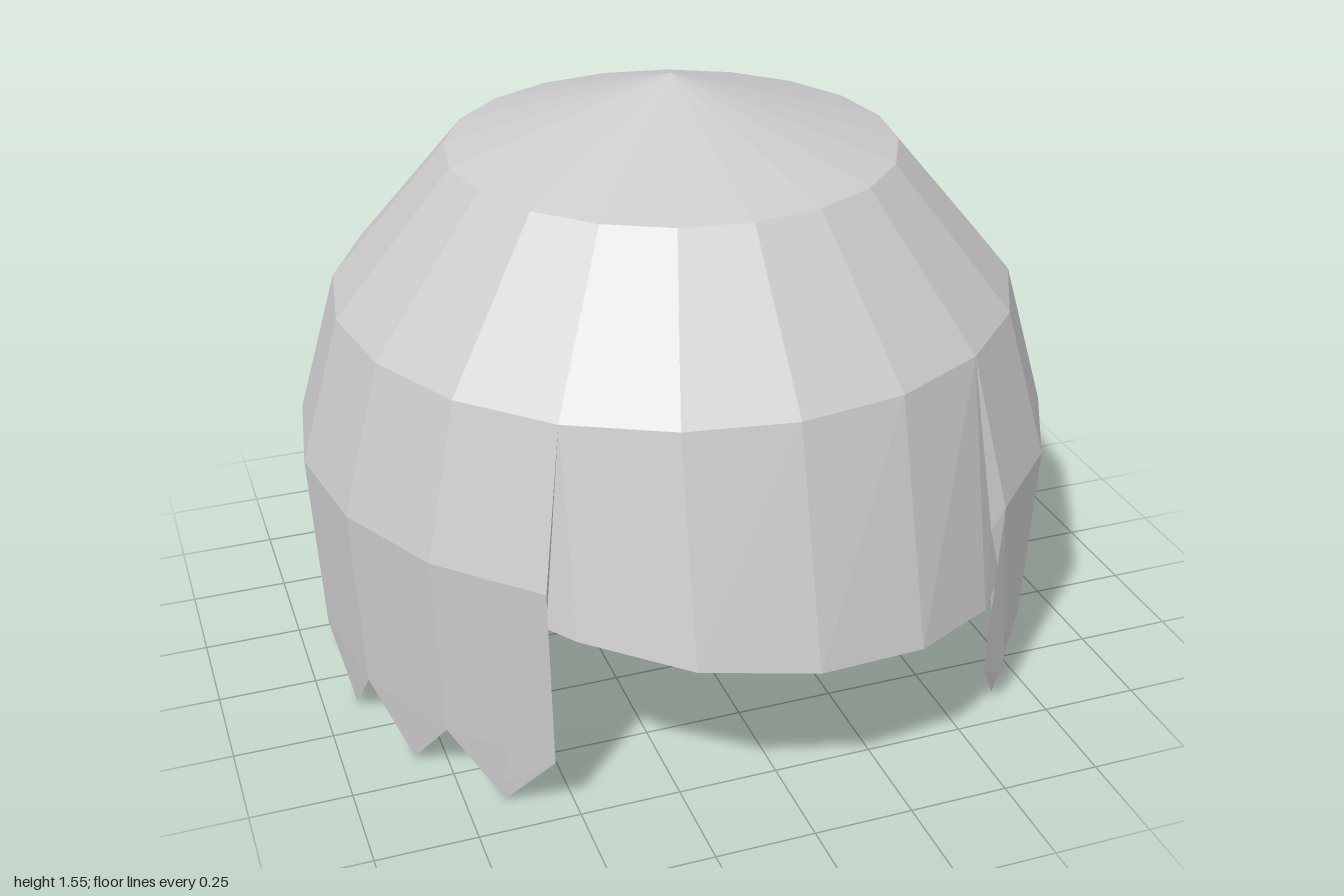
import * as THREE from 'three';

const STEP = Math.PI / 10; // twenty columns around the head
const material = new THREE.MeshStandardMaterial({
  color: 0xcccccc, flatShading: true, side: THREE.DoubleSide,
});

// Point on a ring; column 0 is the front, positive columns turn towards +x.
const ring = (r, y, col) => [r * Math.sin(col * STEP), y, r * Math.cos(col * STEP) - 0.02];

function surface(name, triangles) {
  const geometry = new THREE.BufferGeometry();
  geometry.setAttribute('position', new THREE.Float32BufferAttribute(triangles.flat(2), 3));
  geometry.computeVertexNormals();
  const mesh = new THREE.Mesh(geometry, material);
  mesh.name = name;
  return mesh;
}

// Two triangles: upper left, upper right, lower left, lower right (seen from outside).
const quad = (a, b, c, d) => [[a, c, b], [b, c, d]];

export function createModel() {
  const group = new THREE.Group();
  group.name = 'hair';

  // Crown: shallow cone on a steeper band
  const apex = [0, 1.55, -0.02];
  const crown = [];
  for (let i = 0; i < 20; i++) {
    crown.push([apex, ring(0.565, 1.375, i), ring(0.565, 1.375, i + 1)]);
    crown.push(...quad(ring(0.565, 1.375, i), ring(0.565, 1.375, i + 1),
      ring(0.865, 1.02, i), ring(0.865, 1.02, i + 1)));
  }
  group.add(surface('crown', crown));

  // Sides and back: two bands ending in pointed strands, open at the front
  const levels = [[0.865, 1.02], [0.973, 0.645], [0.95, 0.165]];
  const sides = [];
  for (let i = 2; i < 18; i++) {
    for (let k = 0; k < 2; k++) {
      const [r0, y0] = levels[k], [r1, y1] = levels[k + 1];
      sides.push(...quad(ring(r0, y0, i), ring(r0, y0, i + 1), ring(r1, y1, i), ring(r1, y1, i + 1)));
    }
    sides.push([ring(0.95, 0.165, i), ring(0.925, 0, i + 0.5), ring(0.95, 0.165, i + 1)]);
  }
  group.add(surface('sideAndBackHair', sides));

  // Fringe: flares forward, slanted lower edge, ends tucked behind the side hair
  const hem = [
    [-0.66, 0.56, 0.65], [-0.515, 0.535, 0.81], [-0.28, 0.49, 0.95], [0, 0.455, 1],
    [0.28, 0.425, 0.95], [0.515, 0.395, 0.81], [0.66, 0.43, 0.65],
  ];
  const fringe = [];
  for (let i = 0; i < 6; i++) {
    fringe.push(...quad(ring(0.865, 1.02, i - 3), ring(0.865, 1.02, i - 2), hem[i], hem[i + 1]));
  }
  group.add(surface('fringe', fringe));

  // Folded lock at each front edge of the side hair
  for (const s of [1, -1]) {
    const root = ring(0.865, 1.02, 2 * s);
    const bend = ring(0.973, 0.645, 2 * s);
    const edge = ring(0.95, 0.165, 2 * s);
    const tip = [0.67 * s, 0.07, 0.66];
    const inner = [0.55 * s, 0.5, 0.7];
    const lock = [[root, inner, bend], [bend, inner, tip], [bend, edge, tip]];
    if (s < 0) lock.forEach((t) => t.reverse());
    group.add(surface(s > 0 ? 'leftLock' : 'rightLock', lock));
  }
  return group;
}
